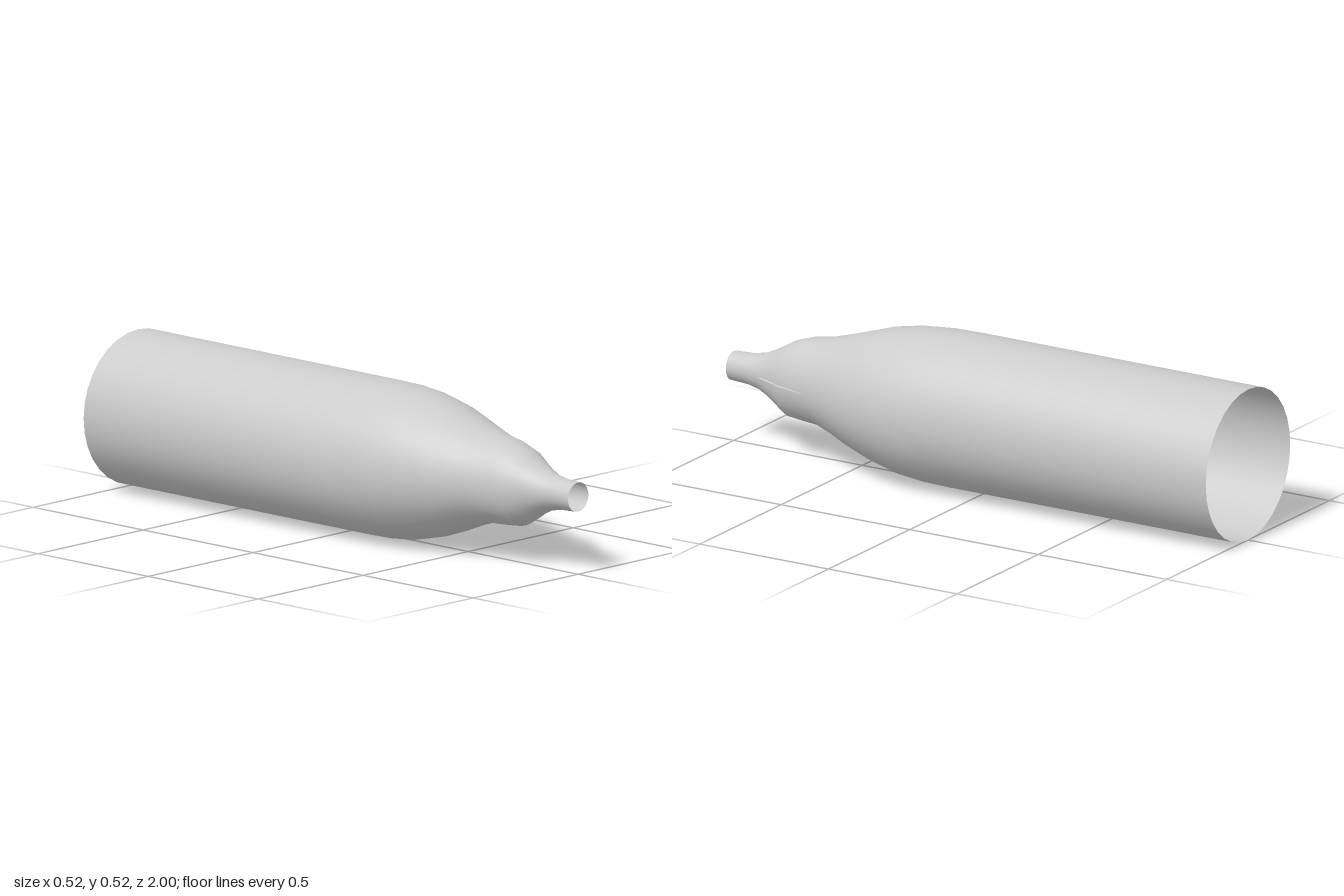
import * as THREE from 'three';

const SIDES = 32;
const AXIS_Y = 0.262;

// Cross-sections from back to front: [z, top radius, side radius, bottom radius]
const SECTIONS = [
  [-1, 0.26, 0.26, 0.26],
  [-0.4, 0.26, 0.26, 0.26],
  [0.1, 0.26, 0.26, 0.26],
  [0.2, 0.258, 0.258, 0.258],
  [0.3, 0.249, 0.248, 0.248],
  [0.4, 0.229, 0.226, 0.224],
  [0.5, 0.196, 0.197, 0.189],
  [0.57, 0.174, 0.17, 0.16],
  [0.63, 0.157, 0.147, 0.141],
  [0.7, 0.146, 0.127, 0.138],
  [0.76, 0.126, 0.114, 0.133],
  [0.8, 0.102, 0.093, 0.109],
  [0.84, 0.08, 0.076, 0.083],
  [0.88, 0.062, 0.061, 0.064],
  [0.93, 0.052, 0.052, 0.053],
  [1, 0.049, 0.049, 0.049],
];

// Open shell lofted through the sections, with a hairline slit in the left seam
function shellGeometry() {
  const positions = [], indices = [];
  const row = SIDES + 1;
  SECTIONS.forEach(([z, top, side, bottom], i) => {
    const slit = z > 0.65 && z < 0.85 ? 0.002 : 0;
    for (let j = 0; j <= SIDES; j++) {
      const a = (j / SIDES) * Math.PI * 2;
      const c = Math.cos(a), s = Math.sin(a);
      const r = side * c * c + (s > 0 ? top : bottom) * s * s;
      const gap = j === 0 ? slit : j === SIDES ? -slit : 0;
      positions.push(r * c, AXIS_Y + r * s + gap, z);
      if (i > 0 && j < SIDES) {
        const b = i * row + j, p = b - row;
        indices.push(p, p + 1, b + 1, p, b + 1, b);
      }
    }
  });
  const geometry = new THREE.BufferGeometry();
  geometry.setAttribute('position', new THREE.Float32BufferAttribute(positions, 3));
  geometry.setIndex(indices);
  geometry.computeVertexNormals();

  // Share normals across the seam so the shading stays continuous
  const n = geometry.attributes.normal;
  const first = new THREE.Vector3(), last = new THREE.Vector3();
  for (let i = 0; i < SECTIONS.length; i++) {
    const a = i * row, b = a + SIDES;
    first.fromBufferAttribute(n, a).add(last.fromBufferAttribute(n, b)).normalize();
    n.setXYZ(a, first.x, first.y, first.z);
    n.setXYZ(b, first.x, first.y, first.z);
  }
  return geometry;
}

export function createModel() {
  const group = new THREE.Group();
  group.name = 'taperedTube';
  const material = new THREE.MeshStandardMaterial({ color: 0xcccccc, side: THREE.DoubleSide });
  const shell = new THREE.Mesh(shellGeometry(), material);
  shell.name = 'shell';
  group.add(shell);
  return group;
}
